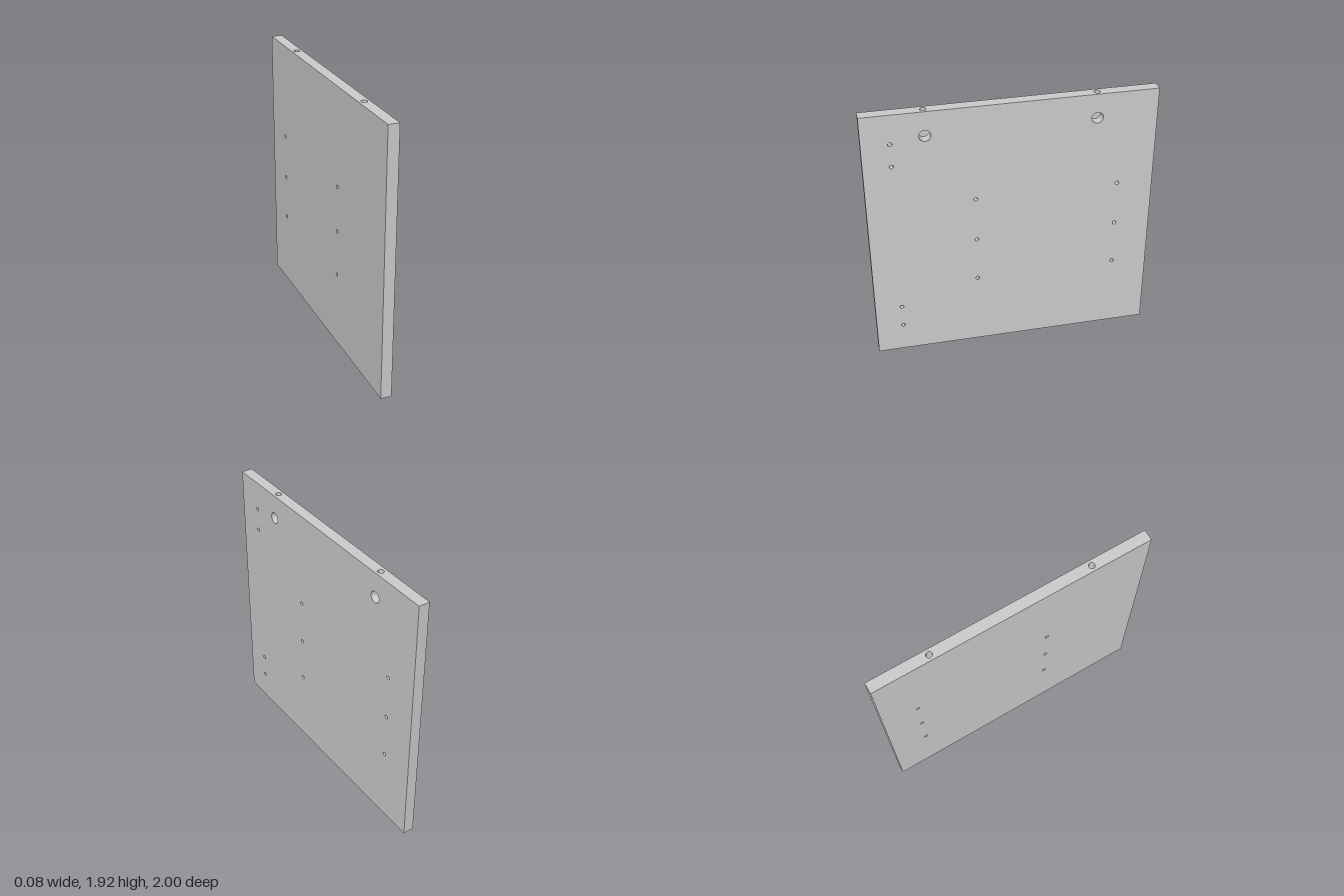
import * as THREE from 'three';
import { toCreasedNormals } from 'three/addons/utils/BufferGeometryUtils.js';

const T = 0.078, H = 1.925, L = 2;              // panel thickness, height, depth
const CAM = { r: 0.04, y: 1.75, floor: -0.026 }; // blind pocket opening on the +x face
const BORE = 0.021, PILOT = 0.014, EDGE_Z = 0.58, SEG = 32;

const material = new THREE.MeshStandardMaterial({ color: 0xcccccc });

function add(parent, name, geometry) {
  const mesh = new THREE.Mesh(geometry, material);
  mesh.name = name;
  parent.add(mesh);
  return mesh;
}

// Flat rectangle centred on the origin, facing +z, pierced by [u, v, radius] holes
function face(w, h, holes = []) {
  const s = new THREE.Shape();
  s.moveTo(-w / 2, -h / 2).lineTo(w / 2, -h / 2).lineTo(w / 2, h / 2).lineTo(-w / 2, h / 2);
  for (const [u, v, r] of holes) s.holes.push(new THREE.Path().absarc(u, v, r, 0, Math.PI * 2, true));
  return new THREE.ShapeGeometry(s, SEG);
}

// Inside surface of a drilled hole: mouth at y = 0, going down
function drill(r, depth, blind) {
  const profile = [new THREE.Vector2(r, 0), new THREE.Vector2(r, -depth)];
  if (blind) profile.push(new THREE.Vector2(0, -depth));
  return toCreasedNormals(new THREE.LatheGeometry(profile, SEG), 0.6);
}

// Smooth surface from a list of four-cornered patches
function quads(list) {
  const pos = [];
  for (const [a, b, c, d] of list) pos.push(...a, ...b, ...c, ...a, ...c, ...d);
  const g = new THREE.BufferGeometry();
  g.setAttribute('position', new THREE.Float32BufferAttribute(pos, 3));
  return toCreasedNormals(g, 0.6);
}

// Pocket wall, leaving an opening at the top where the edge bore breaks in
function camWall() {
  const cols = [], half = SEG / 2, { r, floor } = CAM;
  for (let i = 0; i <= half; i++) {
    const p = -Math.PI / 2 + (Math.PI * i) / half;
    cols.push([Math.asin((BORE * Math.sin(p)) / r), BORE * Math.cos(p)]);
  }
  const a0 = cols[half][0];
  for (let i = 1; i <= SEG; i++) cols.push([a0 + ((Math.PI * 2 - 2 * a0) * i) / SEG, 0]);
  const at = (a, x) => [x, r * Math.cos(a), r * Math.sin(a)];
  const list = [];
  for (let i = 0; i < cols.length - 1; i++) {
    const [a, h] = cols[i], [b, k] = cols[i + 1];
    list.push([at(a, floor), at(a, -h), at(b, -k), at(b, floor)]);
    list.push([at(a, h), at(a, T / 2), at(b, T / 2), at(b, k)]);
  }
  return quads(list);
}

// Bore from the top edge down to the curved pocket wall
function boreWall() {
  const list = [];
  const at = (i, top) => {
    const p = (Math.PI * 2 * i) / SEG, z = BORE * Math.sin(p);
    return [BORE * Math.cos(p), top ? H - CAM.y : Math.sqrt(CAM.r ** 2 - z * z), z];
  };
  for (let i = 0; i < SEG; i++) list.push([at(i, 0), at(i + 1, 0), at(i + 1, 1), at(i, 1)]);
  return quads(list);
}

export function createModel() {
  const model = new THREE.Group();
  model.name = 'drilledPanel';

  // Hole centres as [z, y]
  const through = [], pilots = [];
  for (const z of [0.255, -0.745]) for (const y of [0.553, 0.887, 1.22]) through.push([z, y]);
  for (const y of [0.215, 0.382, 1.545, 1.712]) pilots.push([0.81, y]);
  const cams = [EDGE_Z, -EDGE_Z].map((z) => [z, CAM.y]);

  // Panel faces
  const panel = new THREE.Group();
  panel.name = 'panel';
  model.add(panel);
  const side = (list, r, sign) => list.map(([z, y]) => [sign * z, y - H / 2, r]);
  const inner = [...side(through, PILOT, -1), ...side(pilots, PILOT, -1), ...side(cams, CAM.r, -1)];
  const edgeHoles = [[0, EDGE_Z, BORE], [0, -EDGE_Z, BORE]];
  add(panel, 'drilledFace', face(L, H, inner).rotateY(Math.PI / 2).translate(T / 2, H / 2, 0));
  add(panel, 'outerFace', face(L, H, side(through, PILOT, 1)).rotateY(-Math.PI / 2).translate(-T / 2, H / 2, 0));
  add(panel, 'topEdge', face(T, L, edgeHoles).rotateX(-Math.PI / 2).translate(0, H, 0));
  add(panel, 'bottomEdge', face(T, L, edgeHoles).rotateX(Math.PI / 2));
  add(panel, 'frontEdge', face(T, H).translate(0, H / 2, L / 2));
  add(panel, 'backEdge', face(T, H).rotateY(Math.PI).translate(0, H / 2, -L / 2));

  // Small holes drilled from the +x face
  for (const [list, name, depth, blind] of [[through, 'throughHole', T, false], [pilots, 'pilotHole', 0.06, true]]) {
    const g = drill(PILOT, depth, blind).rotateZ(-Math.PI / 2);
    for (const [z, y] of list) add(model, name, g).position.set(T / 2, y, z);
  }

  // Fastener pockets with their top bores, and the dowel holes below
  const wall = camWall(), bore = boreWall();
  const floor = new THREE.CircleGeometry(CAM.r, SEG * 2).rotateY(Math.PI / 2).translate(CAM.floor, 0, 0);
  const dowel = drill(BORE, 0.15, true).rotateX(Math.PI);
  for (const [z, y] of cams) {
    const pocket = new THREE.Group();
    pocket.name = 'fastenerPocket';
    pocket.position.set(0, y, z);
    add(pocket, 'pocketWall', wall);
    add(pocket, 'pocketFloor', floor);
    add(pocket, 'topBore', bore);
    model.add(pocket);
    add(model, 'dowelHole', dowel).position.z = z;
  }
  return model;
}
